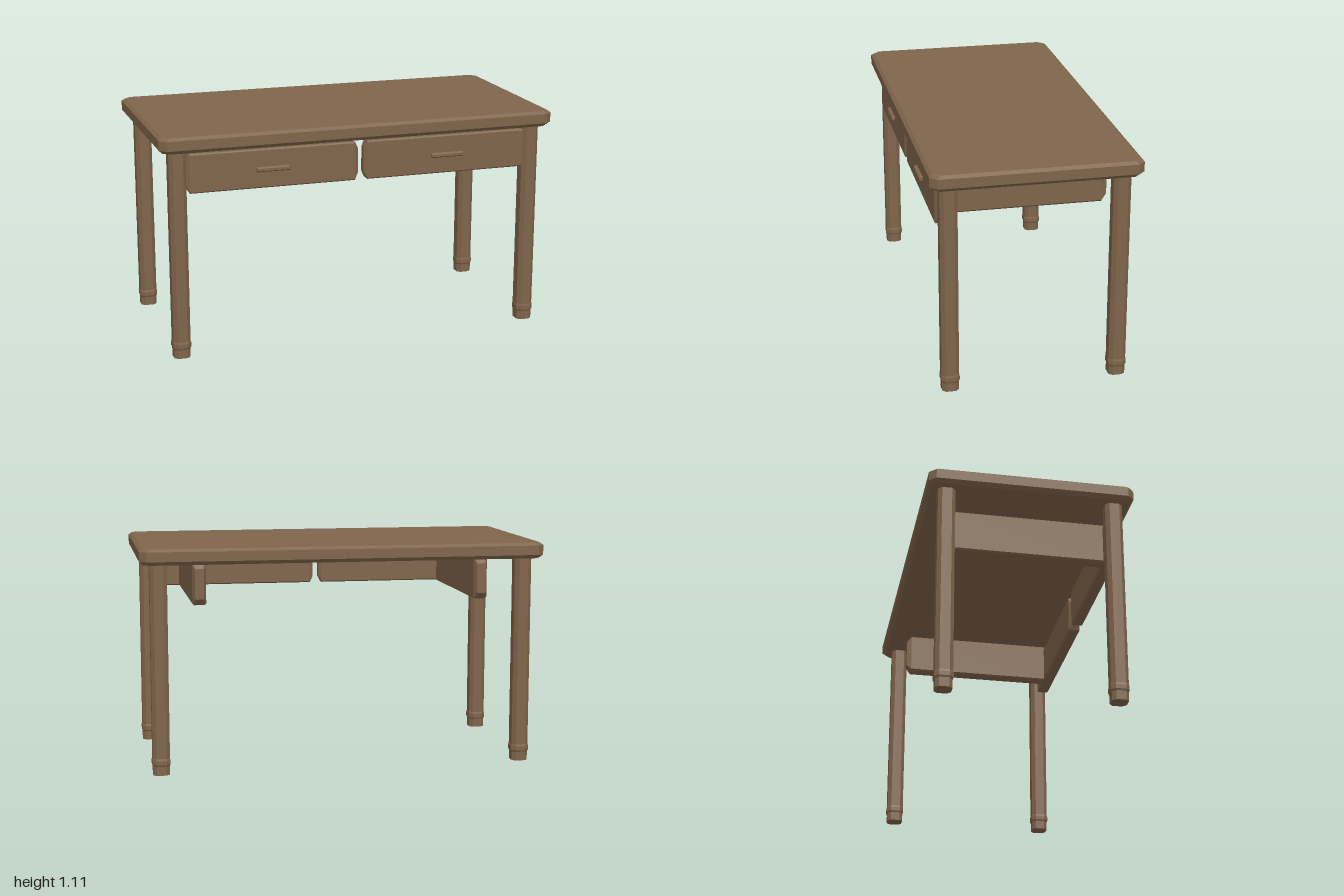
import * as THREE from 'three';

// Flat-faced loft along y through chamfered rectangles: [y, halfX, halfZ, chamfer]
function loft(sections) {
  const rings = sections.map(([y, a, b, c]) =>
    [[a, b - c], [a, c - b], [a - c, -b], [c - a, -b], [-a, c - b], [-a, b - c], [c - a, b], [a - c, b]]
      .map(([x, z]) => [x, y, z]));
  const pos = [];
  const tri = (...points) => points.forEach((p) => pos.push(...p));
  for (let s = 0; s + 1 < rings.length; s++) {
    const lo = rings[s], hi = rings[s + 1];
    for (let i = 0; i < 8; i++) {
      const j = (i + 1) % 8;
      tri(lo[i], lo[j], hi[j]);
      tri(lo[i], hi[j], hi[i]);
    }
  }
  const bottom = rings[0], top = rings[rings.length - 1];
  for (let i = 1; i < 7; i++) {
    tri(top[0], top[i], top[i + 1]);
    tri(bottom[0], bottom[i + 1], bottom[i]);
  }
  const geometry = new THREE.BufferGeometry();
  geometry.setAttribute('position', new THREE.Float32BufferAttribute(pos, 3));
  geometry.computeVertexNormals();
  return geometry;
}

export function createModel() {
  const group = new THREE.Group();
  group.name = 'desk';
  const wood = new THREE.MeshStandardMaterial({ color: 0x80654b });
  wood.name = 'brown wood';

  const add = (name, geometry, x, y, z) => {
    const mesh = new THREE.Mesh(geometry, wood);
    mesh.name = name;
    mesh.position.set(x, y, z);
    group.add(mesh);
  };

  // Tabletop with bevelled rims and cut corners
  add('tabletop', loft([
    [1.035, 0.982, 0.482, 0.03],
    [1.053, 1, 0.5, 0.033],
    [1.1, 1, 0.5, 0.033],
    [1.113, 0.983, 0.484, 0.03],
  ]), 0, 0, 0);

  // Legs with a collar above each foot
  const leg = loft([
    [0, 0.04, 0.04, 0.017],
    [0.045, 0.0405, 0.0405, 0.017],
    [0.053, 0.0445, 0.0445, 0.019],
    [0.074, 0.0445, 0.0445, 0.019],
    [0.084, 0.042, 0.042, 0.018],
    [1.04, 0.042, 0.042, 0.018],
  ]);

  // Drawer front, running along x with tapered ends
  const drawer = loft([
    [-0.428, 0.065, 0.018, 0.004],
    [-0.411, 0.096, 0.03, 0.006],
    [0.411, 0.096, 0.03, 0.006],
    [0.428, 0.065, 0.018, 0.004],
  ]).rotateZ(-Math.PI / 2);

  // Drawer body, running back along z with a tapered rear end
  const runner = loft([
    [-0.39, 0.022, 0.075, 0.006],
    [-0.365, 0.034, 0.105, 0.008],
    [0.41, 0.034, 0.105, 0.008],
  ]).rotateX(Math.PI / 2);

  // Handle bar with a narrower front edge
  const handle = loft([
    [0, 0.083, 0.012, 0.003],
    [0.01, 0.083, 0.012, 0.003],
    [0.018, 0.079, 0.006, 0.002],
  ]).rotateX(Math.PI / 2);

  for (const [side, s] of [['left', 1], ['right', -1]]) {
    add(side + 'FrontLeg', leg, s * 0.908, 0, 0.408);
    add(side + 'BackLeg', leg, s * 0.908, 0, -0.408);
    add(side + 'DrawerFront', drawer, s * 0.443, 0.926, 0.43);
    add(side + 'DrawerBody', runner, s * 0.706, 0.93, 0);
    add(side + 'DrawerHandle', handle, s * 0.447, 0.924, 0.459);
  }
  return group;
}
